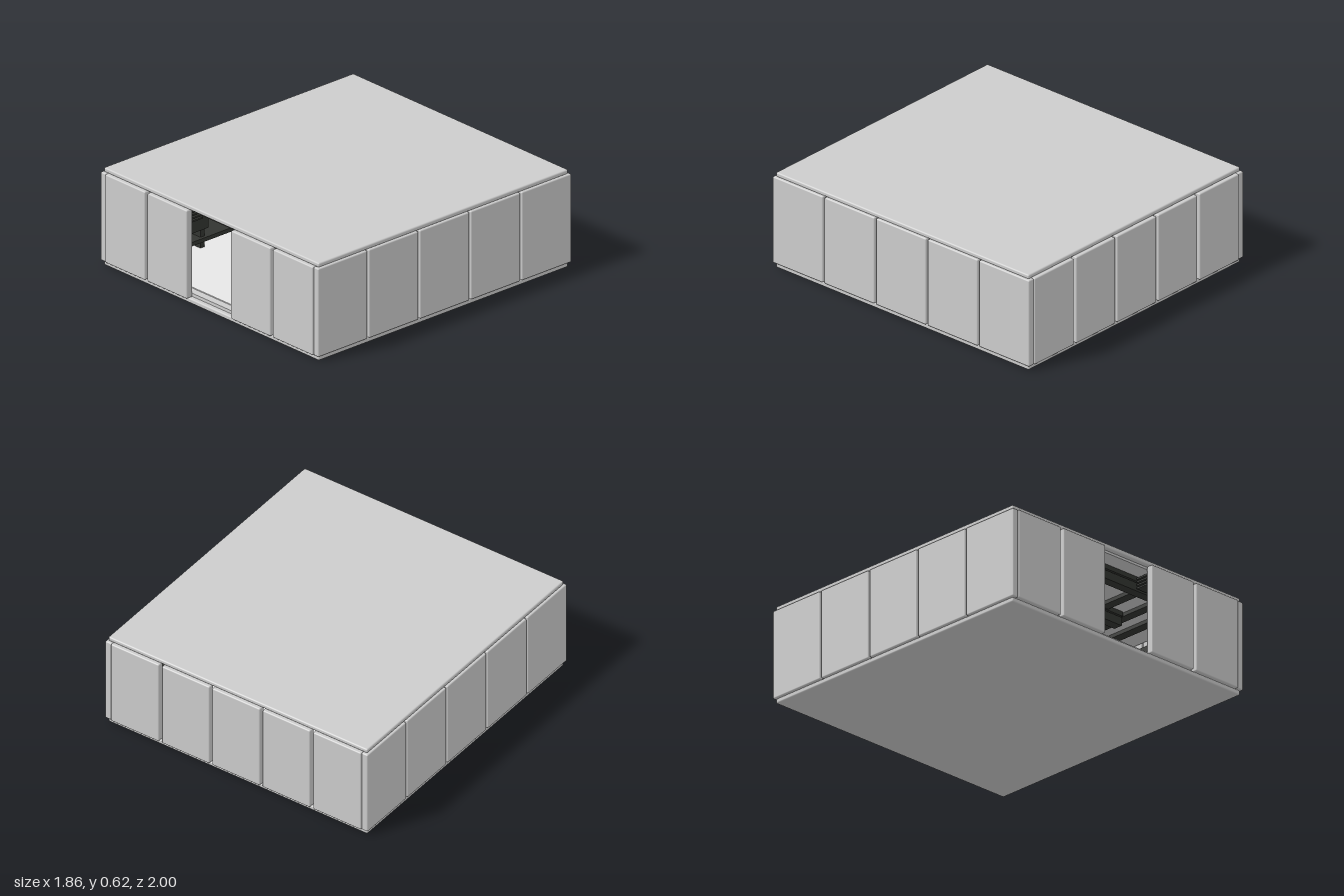
import * as THREE from 'three';
import { RoundedBoxGeometry } from 'three/addons/geometries/RoundedBoxGeometry.js';

export function createModel() {
  const model = new THREE.Group();
  model.name = 'panelledPavilion';
  const mat = (name, color) => {
    const m = new THREE.MeshStandardMaterial({ color });
    m.name = name;
    return m;
  };
  const shell = mat('paleGrey', 0xcccccc);
  const dark = mat('charcoal', 0x333531);
  const white = mat('floorWhite', 0xf2f2f2);

  // Box given by its min and max corners, optionally with softened edges
  const block = (name, material, [x0, y0, z0], [x1, y1, z1], bevel = 0) => {
    const s = [x1 - x0, y1 - y0, z1 - z0];
    const geo = bevel ? new RoundedBoxGeometry(...s, 2, bevel) : new THREE.BoxGeometry(...s);
    const mesh = new THREE.Mesh(geo, material);
    mesh.name = name;
    mesh.position.set((x0 + x1) / 2, (y0 + y1) / 2, (z0 + z1) / 2);
    model.add(mesh);
  };

  // Base and roof slabs, with inset layers inside the walls
  block('baseSlab', shell, [-0.92, 0, -0.98], [0.92, 0.03, 0.98], 0.009);
  block('roofSlab', shell, [-0.92, 0.59, -0.98], [0.92, 0.618, 0.98], 0.009);
  block('doorSill', shell, [-0.88, 0.028, -0.95], [0.88, 0.05, 0.95]);
  block('floorCovering', white, [-0.86, 0.05, -0.9], [0.86, 0.056, 0.9]);
  block('ceiling', shell, [-0.88, 0.575, -0.95], [0.88, 0.592, 0.95]);

  // Front and back wall panels; the front middle is left open as a doorway
  const y0 = 0.03, y1 = 0.59;
  for (const [a, b] of [[-0.888, -0.547], [-0.526, -0.188], [-0.17, 0.17], [0.188, 0.526], [0.547, 0.888]]) {
    block('backPanel', shell, [a, y0, -1], [b, y1, -0.955], 0.008);
    if (a !== -0.17) block('frontPanel', shell, [a, y0, 0.955], [b, y1, 1], 0.008);
  }

  // Side wall panels, five per side, the end ones closing the corners
  for (const side of [-1, 1]) {
    for (let i = -2; i <= 2; i++) {
      const z = i * 0.4;
      const x = [side * 0.888, side * 0.932].sort((p, q) => p - q);
      block('sidePanel', shell, [x[0], y0, z - 0.194], [x[1], y1, z + 0.194], 0.008);
    }
  }

  // Ceiling framework: long runners and cross beams
  for (const x of [-0.7, -0.54, -0.35, 0.35, 0.54, 0.7]) {
    block('ceilingRunner', dark, [x - 0.03, 0.552, -0.9], [x + 0.03, 0.575, 0.9]);
  }
  for (const z of [-0.8, -0.4, 0, 0.4, 0.8]) {
    block('crossBeam', dark, [-0.5, 0.49, z - 0.03], [0.5, 0.542, z + 0.03]);
    block('beamCap', dark, [-0.5, 0.546, z - 0.04], [0.5, 0.575, z + 0.04]);
  }

  // Slatted vents beside the doorway, and low rails with cabinets along the sides
  for (const side of [-1, 1]) {
    for (let i = 0; i < 4; i++) {
      const y = 0.49 + i * 0.02;
      block('ventSlat', dark, [side * 0.27 - 0.06, y, 0.85], [side * 0.27 + 0.06, y + 0.01, 0.94]);
    }
    block('lowRail', dark, [side * 0.72 - 0.12, 0.1, -0.8], [side * 0.72 + 0.12, 0.125, 0.8]);
    for (const z of [-0.6, 0.6]) {
      block('cabinet', dark, [side * 0.72 - 0.12, 0.18, z - 0.15], [side * 0.72 + 0.12, 0.36, z + 0.15]);
      for (const dz of [-0.12, 0.12]) {
        block('cabinetLeg', dark, [side * 0.72 - 0.1, 0.056, z + dz - 0.015], [side * 0.72 + 0.1, 0.18, z + dz + 0.015]);
      }
    }
  }
  return model;
}
